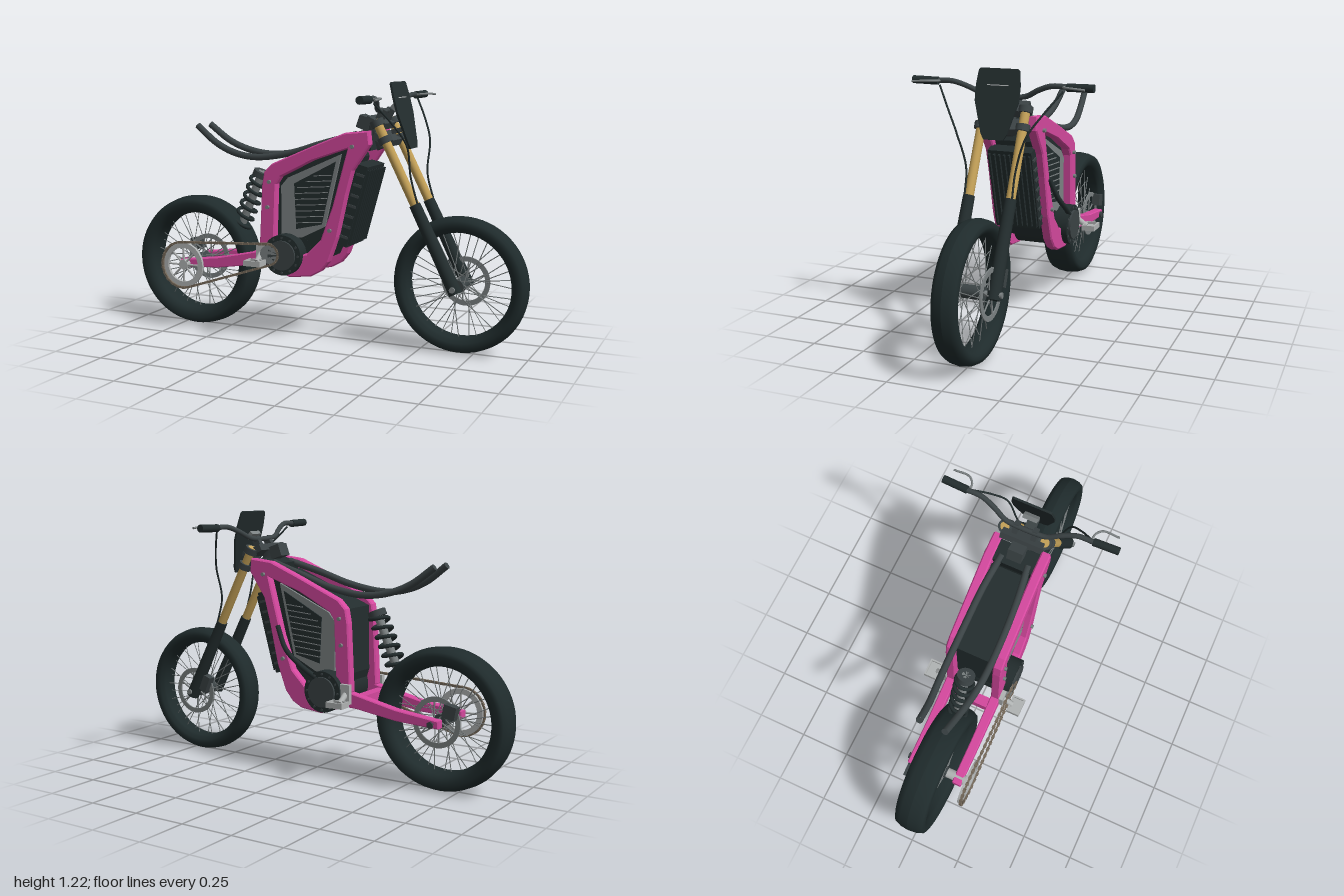
import * as THREE from 'three';

const mat = (name, color) => Object.assign(new THREE.MeshStandardMaterial({ color }), { name });
const V = (x, y, z) => new THREE.Vector3(x, y, z);

export function createModel() {
  const bike = new THREE.Group();
  bike.name = 'motorbike';
  const rubber = mat('tyre rubber', 0x1f2b2c);
  const black = mat('black plastic', 0x232d2e);
  const dark = mat('dark metal', 0x3b4345);
  const pink = mat('pink frame paint', 0xd4489e);
  const gold = mat('gold fork', 0xc4a158);
  const light = mat('light alloy', 0xb0b3b3);
  const grey = mat('grey steel', 0x7c8283);
  const chainMat = mat('chain bronze', 0x75695a);

  // Helpers
  const add = (name, geo, m, parent = bike) => {
    const mesh = new THREE.Mesh(geo, m);
    mesh.name = name;
    parent.add(mesh);
    return mesh;
  };
  const group = (name) => {
    const g = new THREE.Group();
    g.name = name;
    bike.add(g);
    return g;
  };
  const box = (name, w, h, d, x, y, z, m, tilt = 0, parent = bike) => {
    const b = add(name, new THREE.BoxGeometry(w, h, d), m, parent);
    b.position.set(x, y, z);
    b.rotation.z = tilt;
    return b;
  };
  const rod = (name, a, b, r, m, sides = 20, parent = bike, r2 = r) => {
    const dir = b.clone().sub(a);
    const c = add(name, new THREE.CylinderGeometry(r2, r, dir.length(), sides), m, parent);
    c.position.copy(a).add(b).multiplyScalar(0.5);
    c.quaternion.setFromUnitVectors(V(0, 1, 0), dir.normalize());
    return c;
  };
  const tube = (name, pts, r, m, seg = 40, parent = bike) => {
    const curve = new THREE.CatmullRomCurve3(pts.map((p) => V(...p)), false, 'centripetal');
    add(name, new THREE.TubeGeometry(curve, seg, r, 10), m, parent);
    [0, 1].forEach((t) => {
      const p = curve.getPoint(t), out = curve.getTangent(t).multiplyScalar(t ? 1 : -1);
      rod(name + 'End', p, p.clone().addScaledVector(out, 0.002), r, m, 10, parent);
    });
  };
  const vec2 = (pts) => pts.map((p) => new THREE.Vector2(...p));
  const plate = (name, pts, z0, z1, m, hole, bevel = 0, parent = bike) => {
    const s = new THREE.Shape(vec2(pts));
    if (hole) s.holes.push(new THREE.Path(vec2(hole)));
    const geo = new THREE.ExtrudeGeometry(s, {
      depth: z1 - z0 - 2 * bevel, bevelEnabled: bevel > 0, bevelSize: bevel,
      bevelThickness: bevel, bevelOffset: -bevel, bevelSegments: 1,
    });
    geo.translate(0, 0, z0 + bevel);
    return add(name, geo, m, parent);
  };
  const ring = (name, ro, ri, z, t, m, parent) => {
    const s = new THREE.Shape().absarc(0, 0, ro, 0, Math.PI * 2);
    s.holes.push(new THREE.Path().absarc(0, 0, ri, 0, Math.PI * 2));
    const geo = new THREE.ExtrudeGeometry(s, { depth: t, bevelEnabled: false, curveSegments: 32 });
    return add(name, geo.translate(0, 0, z - t / 2), m, parent);
  };

  // Wheels: tyre and rim lathe, hub, crossed spokes, brake disc
  const wheel = (name, x, y, R, w) => {
    const g = group(name);
    g.position.set(x, y, 0);
    const half = [[0.237, 0], [0.243, 0.6], [0.252, 0.72], [0.262, 0.9], [R - 0.035, 1], [R - 0.016, 0.9], [R - 0.005, 0.55], [R, 0]];
    const prof = [...half.slice().reverse().map(([r, k]) => [r, -k * w]), ...half.slice(1).map(([r, k]) => [r, k * w])];
    const tyre = add('tyre', new THREE.LatheGeometry(vec2(prof), 64).rotateX(Math.PI / 2), rubber, g);
    tyre.material.side = THREE.DoubleSide;
    rod('hub', V(0, 0, -0.055), V(0, 0, 0.055), 0.03, dark, 24, g);
    rod('axle', V(0, 0, -0.135), V(0, 0, 0.135), 0.013, grey, 16, g);
    for (let i = 0; i < 36; i++) {
      const a = (i / 36) * Math.PI * 2, b = a + (i % 4 < 2 ? 0.28 : -0.28), z = i % 2 ? 0.045 : -0.045;
      rod('spoke', V(Math.cos(b + (b - a) * 2) * 0.03, Math.sin(b + (b - a) * 2) * 0.03, z),
        V(Math.cos(a) * 0.243, Math.sin(a) * 0.243, z * 0.2), 0.0022, grey, 4, g);
    }
    ring('brakeDisc', 0.115, 0.092, -0.082, 0.006, grey, g);
    for (let i = 0; i < 6; i++) {
      const a = (i / 6) * Math.PI * 2;
      rod('discArm', V(Math.cos(a) * 0.025, Math.sin(a) * 0.025, -0.08),
        V(Math.cos(a + 0.4) * 0.095, Math.sin(a + 0.4) * 0.095, -0.082), 0.004, grey, 6, g);
    }
    return g;
  };
  const rear = wheel('rearWheel', -0.674, 0.331, 0.324, 0.077);
  wheel('frontWheel', 0.683, 0.322, 0.313, 0.058);
  box('rearCaliper', 0.06, 0.06, 0.04, -0.75, 0.39, -0.1, dark, 0.2);
  box('frontCaliper', 0.04, 0.08, 0.04, 0.6, 0.37, -0.095, dark, 0.4);

  // Rear sprocket
  ring('sprocketRing', 0.11, 0.084, 0.165, 0.014, light, rear);
  rod('sprocketHub', V(0, 0, 0.05), V(0, 0, 0.17), 0.024, light, 20, rear);
  for (let i = 0; i < 8; i++) {
    const a = (i / 8) * Math.PI * 2;
    rod('sprocketArm', V(0, 0, 0.163), V(Math.cos(a) * 0.09, Math.sin(a) * 0.09, 0.163), 0.005, light, 6, rear);
  }

  // Drive chain wrapped round both sprockets
  const chain = group('chain');
  const cr = [-0.674, 0.331], cf = [-0.2, 0.42];
  const th = Math.atan2(cf[1] - cr[1], cf[0] - cr[0]);
  const ph = Math.acos(0.063 / Math.hypot(cf[0] - cr[0], cf[1] - cr[1]));
  const loop = new THREE.Shape().absarc(...cr, 0.113, th + ph, th - ph + Math.PI * 2)
    .absarc(...cf, 0.05, th - ph, th + ph).closePath();
  const links = loop.getSpacedPoints(90);
  for (let i = 0; i < 90; i++) {
    const p = links[i], d = links[i + 1].clone().sub(p);
    box('link', d.length() * 0.95, 0.011, i % 2 ? 0.014 : 0.008, p.x + d.x / 2, p.y + d.y / 2, 0.176, chainMat, d.angle(), chain);
  }
  rod('driveSprocket', V(...cf, 0.14), V(...cf, 0.178), 0.044, grey, 24);

  // Frame side plates, swingarm, bolts and footrests
  const outer = [[0.285, 1.012], [0.17, 1.0], [0.01, 0.935], [-0.2, 0.845], [-0.24, 0.805], [-0.252, 0.74], [-0.268, 0.43],
    [-0.25, 0.385], [-0.19, 0.34], [-0.11, 0.312], [0, 0.325], [0.05, 0.352], [0.09, 0.4], [0.135, 0.52], [0.18, 0.72], [0.21, 0.83], [0.292, 0.95]];
  const inner = [[-0.178, 0.75], [-0.155, 0.785], [0.01, 0.868], [0.185, 0.93], [0.165, 0.86], [0.11, 0.66], [0.05, 0.5],
    [-0.02, 0.43], [-0.12, 0.41], [-0.19, 0.46]];
  const arm = [[-0.71, 0.315], [-0.71, 0.35], [-0.5, 0.375], [-0.3, 0.418], [-0.2, 0.44], [-0.2, 0.36], [-0.3, 0.355], [-0.5, 0.325]];
  for (const s of [1, -1]) {
    const [a, b] = s > 0 ? [0.095, 0.14] : [-0.14, -0.095];
    plate('frameSide', outer, a, b, pink, inner, 0.006);
    plate('swingarmSide', arm, a, b, pink, null, 0.004);
    for (const [x, y] of [[-0.21, 0.76], [-0.22, 0.64], [0.21, 0.94], [0.1, 0.55]])
      rod('frameBolt', V(x, y, s * 0.135), V(x, y, s * 0.152), 0.009, grey, 10);
    rod('axleNut', V(-0.674, 0.331, s * 0.135), V(-0.674, 0.331, s * 0.15), 0.016, dark, 6);
    box('footrestBracket', 0.05, 0.09, 0.02, -0.25, 0.42, s * 0.15, light);
    rod('footrestArm', V(-0.25, 0.42, s * 0.15), V(-0.25, 0.385, s * 0.2), 0.014, light, 10);
    const peg = group('footrest');
    for (const e of [-1, 1]) {
      box('pegSide', 0.008, 0.026, 0.064, -0.25 + e * 0.039, 0.385, s * 0.221, light, 0, peg);
      box('pegEnd', 0.086, 0.026, 0.008, -0.25, 0.385, s * (0.221 + e * 0.028), light, 0, peg);
    }
    box('pegFloor', 0.08, 0.012, 0.06, -0.25, 0.38, s * 0.221, light, 0, peg);
  }
  box('swingarmBridge', 0.05, 0.055, 0.2, -0.3, 0.385, 0, pink);

  // Battery, side grilles and finned front box
  plate('battery', [[-0.225, 0.8], [0.16, 0.955], [0.2, 0.88], [0.12, 0.55], [0.05, 0.4], [-0.2, 0.4], [-0.23, 0.5]], -0.096, 0.096, black);
  for (const s of [1, -1]) {
    const grille = group('sideGrille');
    const layer = (name, pts, z0, z1, m) => plate(name, pts, s > 0 ? z0 : -z1, s > 0 ? z1 : -z0, m, null, 0, grille);
    layer('grilleBack', [[-0.165, 0.74], [-0.13, 0.78], [0.14, 0.9], [0.06, 0.56], [-0.06, 0.5], [-0.165, 0.5]], 0.09, 0.108, grey);
    layer('grilleInset', [[-0.095, 0.755], [0.115, 0.865], [0.045, 0.57], [-0.085, 0.54]], 0.1, 0.113, black);
    for (let i = 0; i < 9; i++) {
      const y = 0.575 + i * 0.028, r = 0.045 + (y - 0.57) * 0.237, l = -0.09 + Math.max(0, y - 0.735) * 1.5;
      box('grilleSlat', r - l, 0.004, 0.006, (l + r) / 2, y, s * 0.113, grey, 0.08, grille);
    }
    // Motor end cover
    rod('motorCover', V(-0.134, 0.42, s * 0.1), V(-0.134, 0.42, s * 0.168), 0.096, black, 40);
    rod('motorCap', V(-0.134, 0.42, s * 0.168), V(-0.134, 0.42, s * 0.178), 0.07, dark, 40);
    for (let i = 0; i < 12; i++) {
      const a = (i / 12) * Math.PI * 2, x = -0.134 + Math.cos(a) * 0.083, y = 0.42 + Math.sin(a) * 0.083;
      rod('motorBolt', V(x, y, s * 0.165), V(x, y, s * 0.172), 0.006, dark, 6);
    }
  }
  rod('motorBody', V(-0.12, 0.425, -0.097), V(-0.12, 0.425, 0.097), 0.105, black, 40);
  const front = group('frontBox');
  front.position.set(0.19, 0.665, 0);
  front.rotation.z = -0.27;
  box('frontBoxBody', 0.06, 0.39, 0.21, 0, 0, 0, black, 0, front);
  for (let i = 0; i < 9; i++) box('frontFin', 0.016, 0.36, 0.008, 0.036, 0, -0.096 + i * 0.024, black, 0, front);
  for (const s of [1, -1]) for (let i = 0; i < 7; i++) box('sideFin', 0.04, 0.012, 0.008, 0.005, -0.15 + i * 0.05, s * 0.107, dark, 0, front);
  tube('powerCable', [[0.13, 0.7, -0.14], [0.07, 0.6, -0.162], [-0.02, 0.53, -0.168], [-0.1, 0.48, -0.16]], 0.012, black);

  // Seat rails
  for (const s of [1, -1]) tube('seatRail', [[-0.64, 1.005, s * 0.06], [-0.53, 0.925, s * 0.07], [-0.42, 0.882, s * 0.083], [-0.3, 0.868, s * 0.09],
    [-0.13, 0.893, s * 0.09], [0.04, 0.945, s * 0.083], [0.2, 0.99, s * 0.065]], 0.016, dark, 50);

  // Rear shock with coil spring
  const shock = group('rearShock');
  shock.position.set(-0.46, 0.47, 0);
  shock.rotation.z = -Math.atan2(0.14, 0.32);
  rod('shockBody', V(0, -0.01, 0), V(0, 0.35, 0), 0.02, grey, 16, shock);
  rod('shockTopCap', V(0, 0.32, 0), V(0, 0.35, 0), 0.042, dark, 24, shock);
  rod('shockLowerCap', V(0, 0, 0), V(0, 0.02, 0), 0.042, dark, 24, shock);
  const coil = [];
  for (let i = 0; i <= 112; i++) coil.push(V(Math.cos(i * Math.PI / 8) * 0.042, 0.015 + (i / 112) * 0.31, Math.sin(i * Math.PI / 8) * 0.042));
  add('spring', new THREE.TubeGeometry(new THREE.CatmullRomCurve3(coil), 170, 0.009, 8), black, shock);

  // Fork, clamps and steering head
  const top = V(0.313, 1.045, 0), foot = V(0.69, 0.3, 0);
  const onFork = (t, z) => top.clone().lerp(foot, t).setZ(z);
  for (const s of [1, -1]) {
    const z = s * 0.097;
    rod('forkStanchion', onFork(-0.02, z), onFork(0.55, z), 0.021, gold, 24);
    rod('forkLower', onFork(0.48, z), onFork(1, z), 0.026, black, 24, bike, 0.031);
    for (const t of [0, 0.1]) rod('clampCollar', onFork(t - 0.018, z), onFork(t + 0.018, z), 0.032, dark, 20);
    tube('controlCable', [[0.37, 1.14, s * 0.285], [0.43, 1.05, s * 0.22], [0.475, 0.955, s * 0.16], [0.48, 0.81, s * 0.115], [0.515, 0.68, s * 0.11]], 0.0045, black);
  }
  for (const t of [0, 0.1]) {
    const p = onFork(t, 0);
    box('forkClamp', 0.08, 0.032, 0.2, p.x - 0.02, p.y, 0, dark, -0.47);
  }
  rod('steeringHead', V(0.25, 1.05, 0), V(0.31, 0.93, 0), 0.035, dark, 24);
  box('headBlock', 0.06, 0.06, 0.07, 0.22, 1.04, 0, dark, -0.35);
  box('headGusset', 0.1, 0.09, 0.19, 0.225, 0.955, 0, black, 0.2);

  // Handlebar, grips and levers
  const bar = [[0.352, 1.16, 0.31], [0.35, 1.16, 0.23], [0.335, 1.138, 0.165], [0.315, 1.105, 0.1], [0.312, 1.098, 0.05]];
  tube('handlebar', [...bar, ...bar.slice().reverse().map(([x, y, z]) => [x, y, -z])], 0.012, dark, 80);
  for (const s of [1, -1]) {
    rod('grip', V(0.354, 1.158, s * 0.3), V(0.358, 1.16, s * 0.42), 0.018, black, 16);
    tube('lever', [[0.36, 1.16, s * 0.29], [0.39, 1.163, s * 0.295], [0.415, 1.165, s * 0.32], [0.418, 1.16, s * 0.395]], 0.005, grey, 20);
    box('barMount', 0.035, 0.06, 0.025, 0.312, 1.078, s * 0.045, dark, -0.47);
  }

  // Front plate with slit light and display
  const nose = group('frontPlate');
  nose.position.set(0.41, 1.08, 0);
  nose.rotation.z = 0.26;
  const side = [[0.045, -0.155], [0.06, -0.13], [0.101, 0.01], [0.102, 0.08], [0.094, 0.145], [0.085, 0.153]];
  plate('plateShell', [...side, ...side.slice().reverse().map(([x, y]) => [-x, y])], -0.005, 0.005, black, null, 0, nose).rotation.y = Math.PI / 2;
  box('slitLight', 0.003, 0.004, 0.1, 0.006, 0.08, 0, light, 0, nose);
  box('display', 0.02, 0.04, 0.07, -0.03, 0.04, 0, grey, 0.5, nose);
  box('plateBracket', 0.07, 0.02, 0.05, -0.04, -0.06, 0, dark, 0, nose);
  return bike;
}
